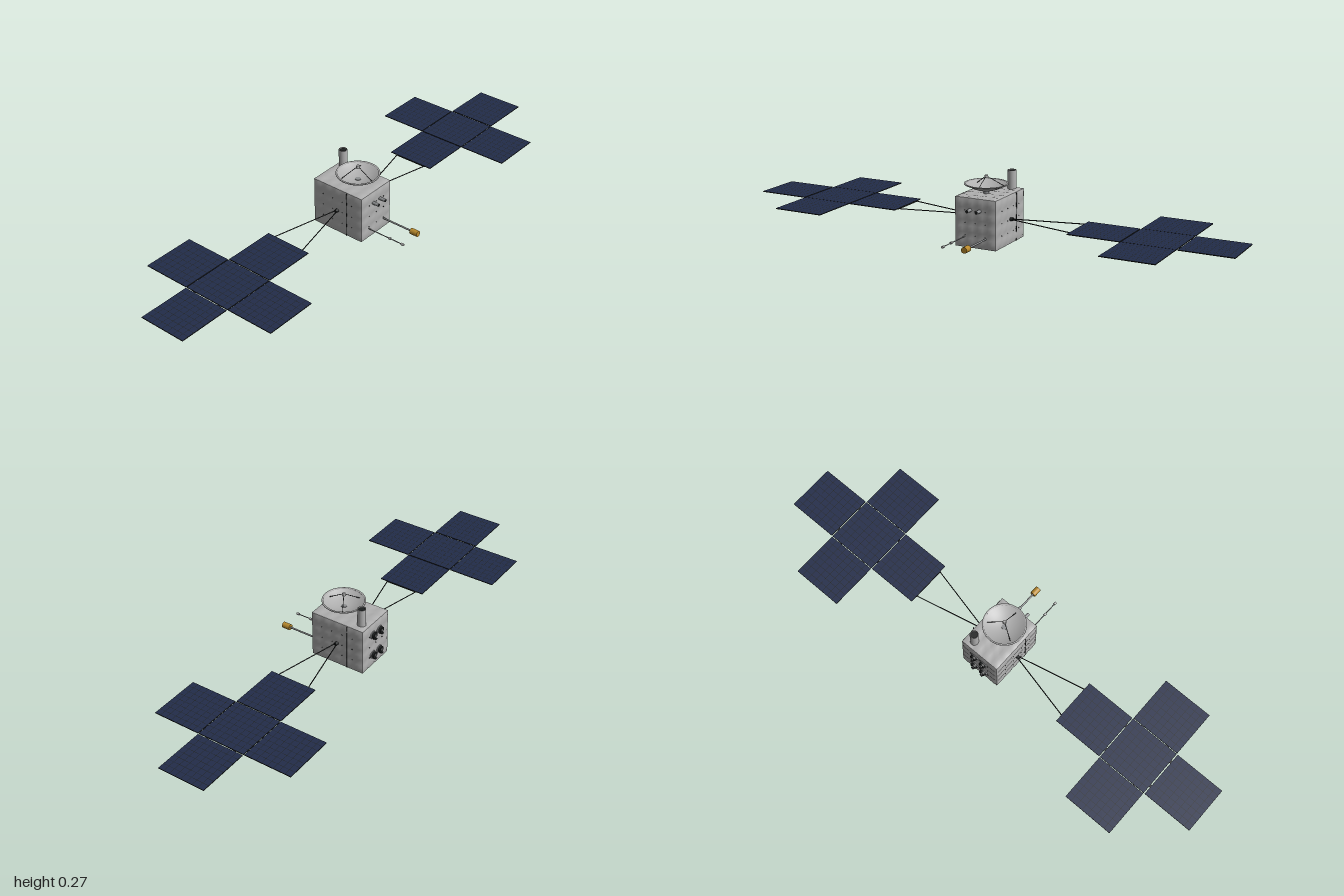
import * as THREE from 'three';
import { mergeGeometries } from 'three/addons/utils/BufferGeometryUtils.js';

export function createModel() {
  const model = new THREE.Group();
  model.name = 'satellite';
  const paint = (name, color, side = THREE.FrontSide) => {
    const m = new THREE.MeshStandardMaterial({ color, side });
    m.name = name;
    return m;
  };
  const foil = paint('greyFoil', 0xb0b0b0);
  const dishGrey = paint('dishGrey', 0xb0b0b0, THREE.DoubleSide);
  const metal = paint('boomMetal', 0x8e9092);
  const black = paint('black', 0x1c1f1f);
  const blue = paint('cellBlue', 0x222c4a);
  const gold = paint('gold', 0xb8892b);
  const V = (x, y, z) => new THREE.Vector3(x, y, z);

  const add = (name, geometry, material, x = 0, y = 0, z = 0, parent = model) => {
    const mesh = new THREE.Mesh(geometry, material);
    mesh.name = name;
    mesh.position.set(x, y, z);
    parent.add(mesh);
    return mesh;
  };
  // Cylinder or cone from point a to point b
  const rod = (name, a, b, r, material, r2 = r, sides = 12, parent = model) => {
    const d = b.clone().sub(a);
    const mesh = add(name, new THREE.CylinderGeometry(r2, r, d.length(), sides), material, 0, 0, 0, parent);
    mesh.position.copy(a).addScaledVector(d, 0.5);
    mesh.quaternion.setFromUnitVectors(V(0, 1, 0), d.normalize());
    return mesh;
  };

  // Body: box whose faces swell into quilted pads
  const size = [0.23, 0.192, 0.172], tiles = [5, 4, 4], mid = 0.0985;
  const bodyGeo = new THREE.BoxGeometry(...size, 20, 16, 16);
  const pos = bodyGeo.attributes.position, nor = bodyGeo.attributes.normal;
  for (let i = 0; i < pos.count; i++) {
    const p = [pos.getX(i), pos.getY(i), pos.getZ(i)];
    const n = [nor.getX(i), nor.getY(i), nor.getZ(i)];
    let swell = 0.003, inner = 1;
    for (let k = 0; k < 3; k++) {
      if (Math.abs(n[k]) > 0.5) continue;
      const t = p[k] / size[k] + 0.5;
      swell *= Math.sqrt(Math.abs(Math.sin(t * tiles[k] * Math.PI)));
      if (t < 0.001 || t > 0.999) inner = 0;
    }
    const push = swell + inner * 0.0015;
    pos.setXYZ(i, p[0] + n[0] * push, p[1] + n[1] * push, p[2] + n[2] * push);
  }
  bodyGeo.computeVertexNormals();
  add('body', bodyGeo, foil, 0, mid, 0);

  // Fasteners where the quilting seams cross, on all four sides
  const studs = [];
  for (const s of [-1, 1]) {
    for (let j = 1; j < 4; j++) {
      const y = mid + (j / 4 - 0.5) * size[1];
      for (let i = 1; i < 5; i++)
        studs.push(new THREE.CylinderGeometry(0.0015, 0.0015, 0.004, 6).rotateX(Math.PI / 2)
          .translate((i / 5 - 0.5) * size[0], y, s * 0.088));
      for (let i = 1; i < 4; i++)
        studs.push(new THREE.CylinderGeometry(0.0015, 0.0015, 0.004, 6).rotateZ(Math.PI / 2)
          .translate(s * 0.117, y, (i / 4 - 0.5) * size[2]));
    }
    // Thin upright flange on the front and back
    add('flange', new THREE.BoxGeometry(0.001, 0.19, 0.005), black, s * 0.046, mid, s * 0.089);
  }
  add('fasteners', mergeGeometries(studs), black);

  // Solar wings: five panels in a cross, carried by a V of struts
  const panelGeo = new THREE.BoxGeometry(0.195, 0.003, 0.208);
  const cells = [], nx = 8, nz = 8, cw = 0.195 / nx, cd = 0.208 / nz;
  for (let i = 0; i < nx; i++)
    for (let j = 0; j < nz; j++)
      cells.push(new THREE.PlaneGeometry(cw - 0.0014, cd - 0.0014).rotateX(-Math.PI / 2)
        .translate((i + 0.5) * cw - 0.0975, 0, (j + 0.5) * cd - 0.104));
  const cellGeo = mergeGeometries(cells);
  for (const s of [-1, 1]) {
    const wing = new THREE.Group();
    wing.name = s > 0 ? 'frontWing' : 'backWing';
    model.add(wing);
    for (const [x, z] of [[0, 0.682], [0, 0.47], [0, 0.895], [-0.198, 0.682], [0.198, 0.682]]) {
      add('panel', panelGeo, black, x, 0.101, s * z, wing);
      add('solarCells', cellGeo, blue, x, 0.1031, s * z, wing);
    }
    // Hinges between neighbouring panels
    for (const h of [-0.06, 0.06]) {
      for (const z of [0.576, 0.789])
        add('hinge', new THREE.BoxGeometry(0.012, 0.002, 0.014), black, h, 0.1, s * z, wing);
      for (const x of [-0.099, 0.099])
        add('hinge', new THREE.BoxGeometry(0.014, 0.002, 0.012), black, x, 0.1, s * (0.682 + h), wing);
    }
    for (const x of [-1, 1])
      rod('strut', V(x * 0.004, 0.1, s * 0.096), V(x * 0.068, 0.1, s * 0.37), 0.002, black, 0.002, 8, wing);
    add('rootBar', new THREE.BoxGeometry(0.14, 0.003, 0.006), black, 0, 0.099, s * 0.368, wing);
    rod('hub', V(0, 0.1, s * 0.084), V(0, 0.1, s * 0.1), 0.008, black, 0.006, 12, wing);
  }

  // Dish antenna with three feed struts
  const dish = new THREE.Group();
  dish.name = 'dishAntenna';
  dish.position.set(0.028, 0, 0);
  model.add(dish);
  const profile = [];
  for (let i = 0; i <= 10; i++) {
    const r = 0.079 * i / 10;
    profile.push(new THREE.Vector2(r, 0.207 + 0.026 * (r / 0.079) ** 2));
  }
  add('reflector', new THREE.LatheGeometry(profile, 40), dishGrey, 0, 0, 0, dish);
  const rim = [[0.078, 0.233], [0.084, 0.233], [0.084, 0.2365], [0.078, 0.2365], [0.078, 0.233]];
  add('rim', new THREE.LatheGeometry(rim.map(p => new THREE.Vector2(...p)), 40), dishGrey, 0, 0, 0, dish);
  rod('pedestal', V(0, 0.193, 0), V(0, 0.21, 0), 0.011, metal, 0.011, 20, dish);
  rod('feed', V(0, 0.257, 0), V(0, 0.268, 0), 0.008, foil, 0.006, 16, dish);
  for (let i = 0; i < 3; i++) {
    const a = i * Math.PI * 2 / 3;
    rod('feedStrut', V(Math.cos(a) * 0.066, 0.225, Math.sin(a) * 0.066),
      V(Math.cos(a) * 0.004, 0.262, Math.sin(a) * 0.004), 0.0013, black, 0.0013, 6, dish);
  }

  // Upright hollow tube on the top
  const tube = [[0.0165, 0.19], [0.0165, 0.27], [0.0135, 0.27], [0.0135, 0.262]];
  add('topTube', new THREE.LatheGeometry(tube.map(p => new THREE.Vector2(...p)), 28), dishGrey, -0.086, 0, -0.05);
  add('tubeOpening', new THREE.CylinderGeometry(0.0135, 0.0135, 0.002, 28), black, -0.086, 0.266, -0.05);

  // Four dark nozzles on the right side
  for (const y of [0.147, 0.056])
    for (const z of [-0.022, 0.022]) {
      rod('nozzleMount', V(-0.112, y, z), V(-0.122, y, z), 0.018, metal, 0.016, 20);
      rod('nozzle', V(-0.12, y, z), V(-0.131, y, z), 0.013, black, 0.013, 20);
      rod('nozzleCore', V(-0.13, y, z), V(-0.134, y, z), 0.006, metal, 0.005, 12);
      add('nozzleLip', new THREE.BoxGeometry(0.014, 0.002, 0.012), black, -0.129, y - 0.014, z);
    }

  // Two short sensors on the left side
  for (const z of [-0.02, 0.02]) {
    rod('sensor', V(0.114, 0.149, z), V(0.145, 0.149, z), 0.0065, metal, 0.0065, 16);
    rod('sensorLens', V(0.144, 0.149, z), V(0.1455, 0.149, z), 0.005, black, 0.005, 16);
  }

  // Two booms on the left side
  const y = 0.044;
  rod('thickBoom', V(0.112, y, -0.045), V(0.255, y, -0.045), 0.0035, metal);
  rod('goldInstrument', V(0.25, y, -0.045), V(0.283, y, -0.045), 0.012, gold, 0.012, 20);
  rod('thinBoom', V(0.112, y, 0.045), V(0.28, y, 0.045), 0.002, metal);
  rod('boomJoint', V(0.213, y, 0.045), V(0.223, y, 0.045), 0.005, foil);
  rod('boomTip', V(0.273, y, 0.045), V(0.284, y, 0.045), 0.005, foil);

  return model;
}
